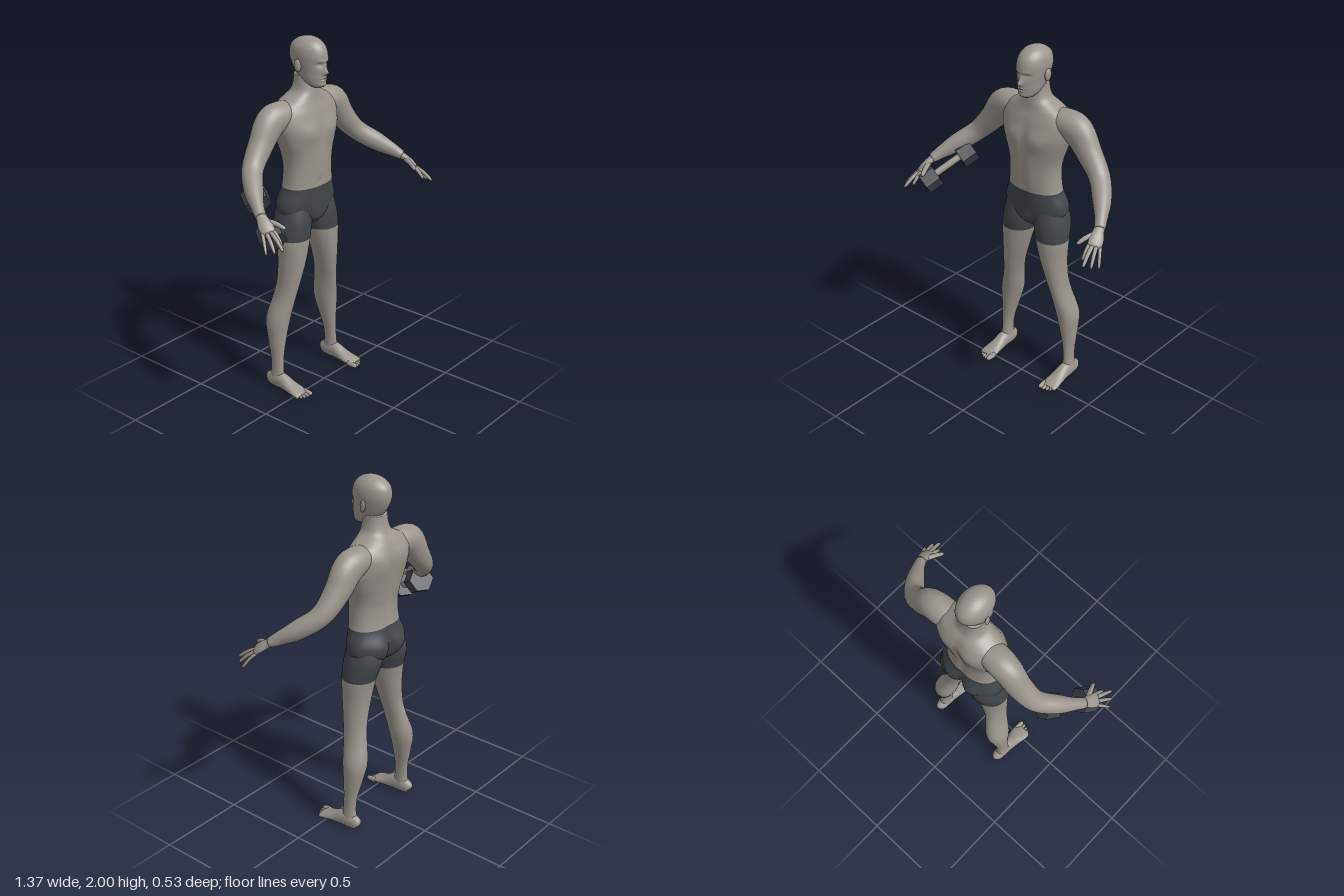
import * as THREE from 'three';

const skin = new THREE.MeshStandardMaterial({ color: 0x9c958e });
skin.name = 'skin';
const cloth = new THREE.MeshStandardMaterial({ color: 0x42474c });
cloth.name = 'dark cloth';
const iron = new THREE.MeshStandardMaterial({ color: 0x3f444a });
iron.name = 'dark iron';
const steel = new THREE.MeshStandardMaterial({ color: 0x9a9590 });
steel.name = 'dull steel';

const V = (x, y, z) => new THREE.Vector3(x, y, z);

// Smooth in-between rows for a short list of numeric rows
function refine(rows, sub) {
  const out = [];
  const at = (i) => rows[Math.max(0, Math.min(rows.length - 1, i))];
  for (let i = 0; i < rows.length - 1; i++) {
    for (let k = 0; k < sub; k++) {
      const t = k / sub;
      out.push(at(i).map((p1, c) => {
        const p0 = at(i - 1)[c], p2 = at(i + 1)[c], p3 = at(i + 2)[c];
        return p1 + 0.5 * t * (p2 - p0 + t * (2 * p0 - 5 * p1 + 4 * p2 - p3 + t * (3 * (p1 - p2) + p3 - p0)));
      }));
    }
  }
  out.push(rows[rows.length - 1]);
  return out;
}

// Closed skin over rings of points; rows before `split` use the first material
function loft(name, rings, materials, split = 0) {
  const n = rings[0].length, m = rings.length;
  const pts = rings.flat();
  const middle = (ring) => ring.reduce((s, p) => s.add(p), V(0, 0, 0)).divideScalar(n);
  pts.push(middle(rings[0]), middle(rings[m - 1]));
  const index = [];
  for (let j = 0; j < n; j++) index.push(m * n, j, (j + 1) % n);
  for (let i = 0; i < m - 1; i++) {
    for (let j = 0; j < n; j++) {
      const a = i * n + j, b = i * n + (j + 1) % n;
      index.push(a, a + n, b, b, a + n, b + n);
    }
  }
  for (let j = 0; j < n; j++) index.push(m * n + 1, (m - 1) * n + (j + 1) % n, (m - 1) * n + j);
  // Turn every face outward, whichever way the rings run
  let volume = 0;
  const c = V(0, 0, 0);
  for (let i = 0; i < index.length; i += 3) {
    volume += pts[index[i]].dot(c.crossVectors(pts[index[i + 1]], pts[index[i + 2]]));
  }
  if (volume < 0) index.reverse();
  const geo = new THREE.BufferGeometry().setFromPoints(pts);
  geo.setIndex(index);
  geo.computeVertexNormals();
  if (split) {
    const cut = 3 * n + split * n * 6, rest = index.length - cut;
    if (volume < 0) {
      geo.addGroup(0, rest, 1);
      geo.addGroup(rest, cut, 0);
    } else {
      geo.addGroup(0, cut, 0);
      geo.addGroup(cut, rest, 1);
    }
  }
  const mesh = new THREE.Mesh(geo, materials);
  mesh.name = name;
  return mesh;
}

// Upright form: rows [y, centreX, halfWidth, zFront, zBack], bumps [x, y, rx, ry, amount, face]
function upright(rows, sub, n, bumps = [], side = 1, power = 1) {
  return refine(rows, sub).map(([y, cx, hw, zf, zb]) => Array.from({ length: n }, (_, j) => {
    const a = (j / n) * Math.PI * 2, c = Math.cos(a), s = Math.sin(a);
    const x = cx + hw * Math.sign(c) * Math.abs(c) ** power;
    let z = (zf + zb) / 2 + ((zf - zb) / 2) * Math.sign(s) * Math.abs(s) ** power;
    for (const [bx, by, rx, ry, amount, face] of bumps) {
      if (s * face <= 0) continue;
      z += face * amount * Math.abs(s) * Math.exp(-(((Math.abs(x) - bx) / rx) ** 2) - ((y - by) / ry) ** 2);
    }
    return V(side * x, y, z);
  }));
}

// Form swept along a path: rows [x, y, z, radius along `wide`, radius across]
function limb(name, rows, wide, side, n = 20, sub = 5) {
  const fine = refine(rows, sub);
  const rings = fine.map(([x, y, z, ra, rb], i) => {
    const p = fine[Math.max(0, i - 1)], q = fine[Math.min(fine.length - 1, i + 1)];
    const t = V(q[0] - p[0], q[1] - p[1], q[2] - p[2]).normalize();
    const u = wide.clone().addScaledVector(t, -wide.dot(t)).normalize();
    const v = u.clone().cross(t);
    return Array.from({ length: n }, (_, j) => {
      const a = (j / n) * Math.PI * 2;
      const o = V(x, y, z).addScaledVector(u, ra * Math.cos(a)).addScaledVector(v, rb * Math.sin(a));
      return o.setX(o.x * side);
    });
  });
  return loft(name, rings, skin);
}

// Tapered finger or toe with a round tip
function digit(name, a, b, r, side, sag = 0) {
  const row = (t, k) => [0, 1, 2].map((i) => a[i] + (b[i] - a[i]) * t + (i === 1 ? sag * 4 * t * (1 - t) : 0)).concat(r * k, r * k);
  return limb(name, [row(0, 1), row(0.45, 0.98), row(0.85, 0.8), row(0.96, 0.5), row(1, 0.1)], V(1, 0.1, -0.2), side, 10, 3);
}

function makeTorso() {
  const rows = [
    [0.965, 0, 0.03, -0.07, -0.17], [1.0, 0, 0.11, -0.04, -0.22], [1.04, 0, 0.185, -0.03, -0.24],
    [1.1, 0, 0.196, -0.024, -0.245], [1.19, 0, 0.165, -0.02, -0.225], [1.3, 0, 0.155, -0.016, -0.222],
    [1.37, 0, 0.163, -0.012, -0.232], [1.45, 0, 0.19, -0.008, -0.245], [1.53, 0, 0.215, -0.012, -0.254],
    [1.6, 0, 0.215, -0.028, -0.255], [1.65, 0, 0.18, -0.045, -0.24], [1.68, 0, 0.13, -0.052, -0.225],
    [1.71, 0, 0.084, -0.056, -0.205], [1.75, 0, 0.068, -0.063, -0.192], [1.8, 0, 0.063, -0.07, -0.185],
  ];
  const bumps = [
    [0.09, 1.5, 0.07, 0.05, 0.014, 1], [0, 1.5, 0.014, 0.09, -0.01, 1], // chest
    [0.04, 1.3, 0.03, 0.1, 0.005, 1], [0, 1.23, 0.012, 0.012, -0.01, 1], // belly
    [0.09, 1.57, 0.06, 0.08, 0.014, -1], [0, 1.42, 0.025, 0.2, -0.016, -1], // back
    [0.085, 1.07, 0.06, 0.07, 0.022, -1], [0, 1.03, 0.022, 0.09, -0.03, -1], // seat
    [0, 1.01, 0.04, 0.05, 0.012, 1],
  ];
  return loft('torsoAndShorts', upright(rows, 6, 64, bumps, 1, 0.9), [cloth, skin], 4 * 6);
}

function makeHead() {
  const head = new THREE.Group();
  head.name = 'head';
  const rows = [
    [1.735, 0, 0.022, -0.02, -0.07], [1.75, 0, 0.045, -0.003, -0.1], [1.78, 0, 0.061, 0.002, -0.15],
    [1.82, 0, 0.069, 0.005, -0.188], [1.87, 0, 0.077, 0.007, -0.213], [1.91, 0, 0.08, 0.008, -0.22],
    [1.95, 0, 0.073, -0.006, -0.21], [1.98, 0, 0.052, -0.035, -0.178], [1.995, 0, 0.026, -0.073, -0.14],
    [2.0, 0, 0.004, -0.104, -0.112],
  ];
  const bumps = [
    [0, 1.822, 0.013, 0.014, 0.022, 1], [0, 1.845, 0.01, 0.025, 0.011, 1], // nose
    [0.03, 1.864, 0.016, 0.011, -0.015, 1], [0.031, 1.862, 0.01, 0.006, 0.007, 1], // eyes
    [0.025, 1.883, 0.025, 0.008, 0.005, 1], // brow
    [0, 1.792, 0.022, 0.005, 0.007, 1], [0, 1.778, 0.018, 0.005, 0.007, 1], // lips
    [0, 1.785, 0.022, 0.003, -0.005, 1], [0, 1.755, 0.025, 0.012, 0.006, 1], // mouth, chin
  ];
  head.add(loft('skull', upright(rows, 8, 88, bumps), skin));
  for (const side of [-1, 1]) {
    const ear = new THREE.Mesh(new THREE.SphereGeometry(1, 14, 10), skin);
    ear.name = 'ear';
    ear.scale.set(0.01, 0.034, 0.02);
    ear.position.set(side * 0.083, 1.855, -0.112);
    ear.rotation.set(-0.15, side * -0.3, 0);
    head.add(ear);
  }
  return head;
}

function makeArm(side) {
  const arm = new THREE.Group();
  arm.name = side > 0 ? 'leftArm' : 'rightArm';
  arm.add(limb('armMuscles', [
    [0.09, 1.61, -0.15, 0.05, 0.06], [0.17, 1.605, -0.152, 0.072, 0.078], [0.255, 1.575, -0.154, 0.087, 0.075],
    [0.335, 1.475, -0.15, 0.071, 0.066], [0.425, 1.375, -0.125, 0.057, 0.057], [0.505, 1.303, -0.045, 0.053, 0.05],
    [0.56, 1.253, 0.03, 0.038, 0.034], [0.59, 1.222, 0.08, 0.026, 0.029],
  ], V(0, 1, 0), side, 28));
  arm.add(limb('palm', [
    [0.582, 1.232, 0.062, 0.026, 0.022], [0.592, 1.215, 0.09, 0.029, 0.02], [0.607, 1.19, 0.125, 0.038, 0.018],
    [0.615, 1.168, 0.152, 0.037, 0.014], [0.618, 1.161, 0.161, 0.026, 0.007],
  ], V(0.055, -0.02, -0.04), side));
  const fingers = [
    ['thumb', [0.584, 1.205, 0.11], [0.546, 1.172, 0.208], 0.014],
    ['indexFinger', [0.591, 1.172, 0.16], [0.6, 1.108, 0.228], 0.011],
    ['middleFinger', [0.607, 1.168, 0.157], [0.632, 1.097, 0.264], 0.0115],
    ['ringFinger', [0.624, 1.163, 0.148], [0.66, 1.085, 0.235], 0.011],
    ['littleFinger', [0.639, 1.158, 0.135], [0.68, 1.073, 0.195], 0.0095],
  ];
  for (const [name, a, b, r] of fingers) arm.add(digit(name, a, b, r, side, 0.008));
  return arm;
}

function makeLeg(side) {
  const leg = new THREE.Group();
  leg.name = side > 0 ? 'leftLeg' : 'rightLeg';
  const rows = [
    [1.1, 0.1, 0.08, -0.05, -0.225], [1.0, 0.106, 0.1, -0.028, -0.243], [0.9, 0.12, 0.095, -0.027, -0.216],
    [0.78, 0.134, 0.076, -0.034, -0.2], [0.65, 0.156, 0.058, -0.052, -0.196], [0.55, 0.176, 0.053, -0.07, -0.212],
    [0.42, 0.205, 0.064, -0.092, -0.235], [0.3, 0.22, 0.048, -0.105, -0.215], [0.2, 0.23, 0.033, -0.11, -0.193],
    [0.12, 0.234, 0.029, -0.108, -0.188], [0.05, 0.236, 0.034, -0.1, -0.198],
  ];
  leg.add(loft('legAndShortLeg', upright(rows, 6, 36, [], side), [cloth, skin], 2 * 6));
  // Foot sections [x, y, z, halfWidth, halfHeight]
  leg.add(limb('foot', [
    [0.236, 0.035, -0.215, 0.014, 0.018], [0.236, 0.042, -0.2, 0.029, 0.038], [0.236, 0.05, -0.15, 0.035, 0.05],
    [0.236, 0.048, -0.105, 0.037, 0.047], [0.236, 0.034, -0.05, 0.043, 0.033], [0.237, 0.024, 0, 0.05, 0.022],
    [0.238, 0.018, 0.03, 0.05, 0.016], [0.238, 0.015, 0.045, 0.042, 0.01],
  ], V(1, 0, 0), side, 24));
  [0.2, 0.222, 0.242, 0.26, 0.277].forEach((x, i) => {
    const r = i ? 0.0115 - i * 0.0006 : 0.016;
    leg.add(digit('toe', [x, 0.019, 0.015], [x + 0.001, r, 0.077 - i * i * 0.0022], r, side));
  });
  return leg;
}

function makeDumbbell() {
  const dumbbell = new THREE.Group();
  dumbbell.name = 'dumbbell';
  const near = V(-0.568, 1.125, 0.127), far = V(-0.468, 1.245, -0.065);
  const length = near.distanceTo(far);
  const handle = new THREE.Mesh(new THREE.CylinderGeometry(0.02, 0.02, length, 20), steel);
  handle.name = 'handle';
  dumbbell.add(handle);
  for (const end of [-1, 1]) {
    const hex = new THREE.CylinderGeometry(0.072, 0.072, 0.09, 6).toNonIndexed();
    hex.computeVertexNormals();
    const weight = new THREE.Mesh(hex, iron);
    weight.name = 'hexWeight';
    weight.position.y = (end * length) / 2;
    dumbbell.add(weight);
  }
  dumbbell.position.copy(near).lerp(far, 0.5);
  dumbbell.quaternion.setFromUnitVectors(V(0, 1, 0), far.clone().sub(near).normalize());
  return dumbbell;
}

export function createModel() {
  const man = new THREE.Group();
  man.name = 'standingMan';
  man.add(makeTorso(), makeHead(), makeDumbbell());
  for (const side of [-1, 1]) man.add(makeArm(side), makeLeg(side));
  return man;
}
